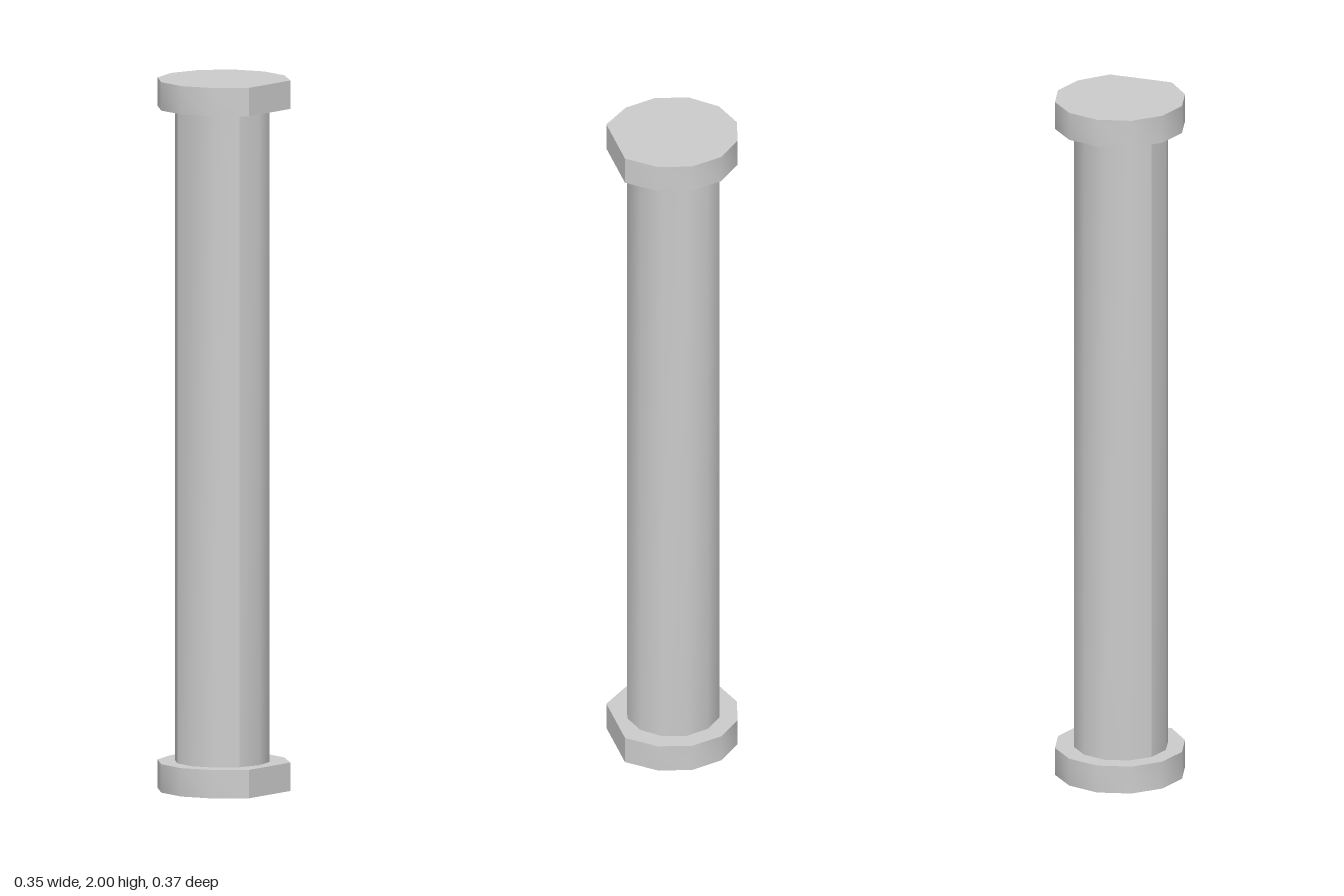
import * as THREE from 'three';
import { toCreasedNormals } from 'three/addons/utils/BufferGeometryUtils.js';

const material = new THREE.MeshStandardMaterial({ color: 0xcccccc });
const CAP_HEIGHT = 0.08;
const CENTER_X = 0.008;

// Twelve-sided end cap with one corner cut off flat on the +x side
function capGeometry() {
  const radius = 0.184;
  const points = [];
  for (let i = 1; i < 12; i++) {
    const a = (i * Math.PI) / 6;
    const onFlat = i === 1 || i === 11;
    points.push(new THREE.Vector2(onFlat ? 0.176 : CENTER_X + radius * Math.cos(a), radius * Math.sin(a)));
  }
  const geometry = new THREE.ExtrudeGeometry(new THREE.Shape(points), { depth: CAP_HEIGHT, bevelEnabled: false });
  geometry.rotateX(-Math.PI / 2);
  return toCreasedNormals(geometry, 0.7);
}

// Smooth strip of the twelve-sided shaft; strips meet at crisp seams
function shaftStrip(startStep, steps) {
  const step = Math.PI / 6;
  const geometry = new THREE.CylinderGeometry(
    0.133, 0.133, 2 - 2 * CAP_HEIGHT, steps, 1, true, startStep * step, steps * step);
  geometry.computeVertexNormals();
  return new THREE.Mesh(geometry, material);
}

export function createModel() {
  const model = new THREE.Group();
  model.name = 'column';

  const shaft = new THREE.Group();
  shaft.name = 'shaft';
  shaft.add(shaftStrip(-1, 3), shaftStrip(2, 9));
  shaft.position.set(CENTER_X, 1, 0.003);
  model.add(shaft);

  // Matching caps at both ends
  const geometry = capGeometry();
  for (const [name, y] of [['bottomCap', 0], ['topCap', 2 - CAP_HEIGHT]]) {
    const cap = new THREE.Mesh(geometry, material);
    cap.name = name;
    cap.position.y = y;
    model.add(cap);
  }
  return model;
}
